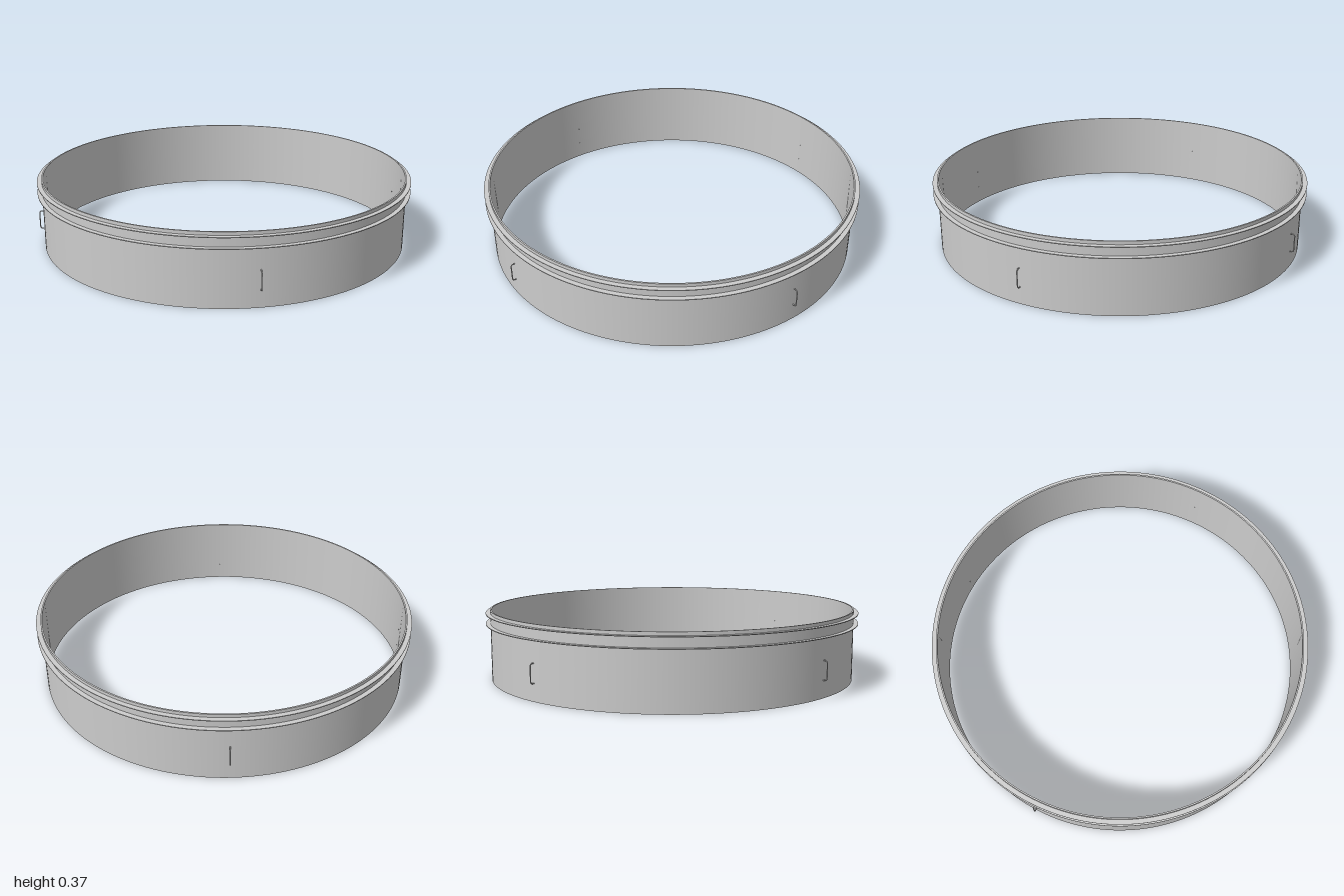
import * as THREE from 'three';

const SEGMENTS = 160;
const WALL_IN = 0.968, WALL_OUT = 0.976, HEIGHT = 0.374;

// Hollow ring of rectangular section, with crisp edges
function ring(name, rIn, rOut, y0, y1, material) {
  const shape = new THREE.Shape().absarc(0, 0, rOut, 0, Math.PI * 2, false);
  shape.holes.push(new THREE.Path().absarc(0, 0, rIn, 0, Math.PI * 2, true));
  const group = new THREE.Group();
  group.name = name;
  const corners = [[rIn, y0], [rOut, y0], [rOut, y1], [rIn, y1], [rIn, y0]];
  for (let i = 0; i < 4; i++) {
    const side = [corners[i], corners[i + 1]].map(([r, y]) => new THREE.Vector2(r, y));
    const mesh = new THREE.Mesh(new THREE.LatheGeometry(side, SEGMENTS), material);
    mesh.name = name + ['Bottom', 'Outside', 'Top', 'Inside'][i];
    group.add(mesh);
  }
  return group;
}

// Wire handle: a rounded bracket whose two ends pass through the wall
function handleGeometry() {
  const low = 0.09, high = 0.187, out = 0.9965, bend = 0.014, start = 0.9665;
  const v = (x, y) => new THREE.Vector3(x, y, 0);
  const path = new THREE.CurvePath();
  path.add(new THREE.LineCurve3(v(start, low), v(out - bend, low)));
  path.add(new THREE.QuadraticBezierCurve3(v(out - bend, low), v(out, low), v(out, low + bend)));
  path.add(new THREE.LineCurve3(v(out, low + bend), v(out, high - bend)));
  path.add(new THREE.QuadraticBezierCurve3(v(out, high - bend), v(out, high), v(out - bend, high)));
  path.add(new THREE.LineCurve3(v(out - bend, high), v(start, high)));
  return new THREE.TubeGeometry(path, 64, 0.003, 10, false);
}

export function createModel() {
  const model = new THREE.Group();
  model.name = 'flangedRing';
  const grey = new THREE.MeshStandardMaterial({ color: 0xcccccc, side: THREE.DoubleSide });

  // Cylindrical wall and the two thin flanges near its top
  model.add(ring('wall', WALL_IN, WALL_OUT, 0, HEIGHT, grey));
  model.add(ring('upperFlange', WALL_OUT - 0.002, 1, 0.353, 0.357, grey));
  model.add(ring('lowerFlange', WALL_OUT - 0.002, 1, 0.298, 0.302, grey));

  // Four handles, with flat caps where the wire ends show inside the wall
  const wire = handleGeometry();
  const cap = new THREE.CircleGeometry(0.003, 10).rotateY(-Math.PI / 2);
  for (let i = 0; i < 4; i++) {
    const handle = new THREE.Group();
    handle.name = 'handle' + (i + 1);
    handle.add(new THREE.Mesh(wire, grey));
    for (const y of [0.09, 0.187]) {
      const end = new THREE.Mesh(cap, grey);
      end.name = 'wireEnd';
      end.position.set(0.9665, y, 0);
      handle.add(end);
    }
    handle.children[0].name = 'handleWire';
    handle.rotation.y = i * Math.PI / 2;
    model.add(handle);
  }
  return model;
}
